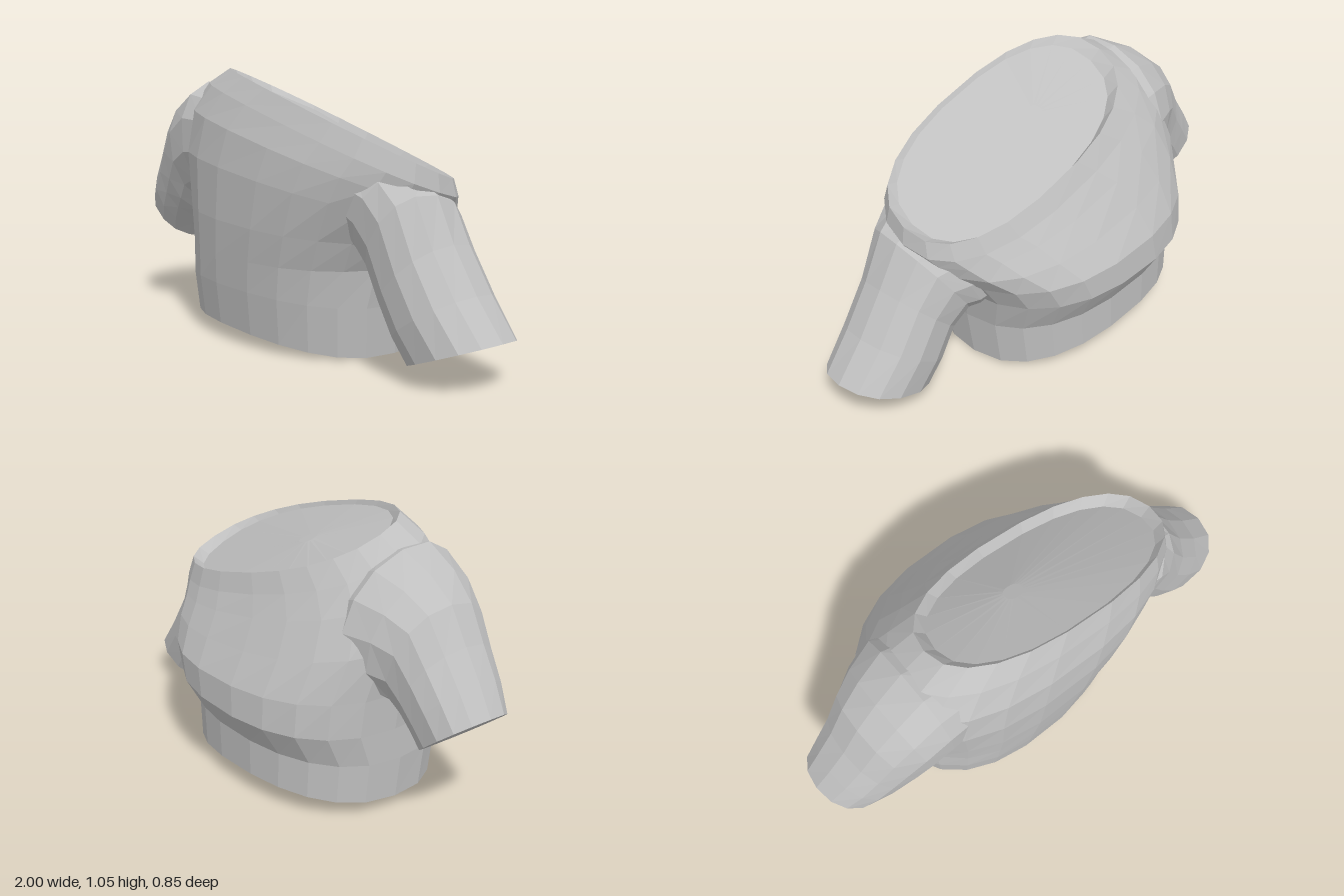
import * as THREE from 'three';

const V = (x, y, z) => new THREE.Vector3(x, y, z);

// Skin a list of rings { c, u, w, sag } (centre, two half axes, droop at the sides) and cap both ends with fans.
// An exponent below 1 makes the ovals boxier.
function loft(rings, segments, exponent) {
  const pos = [], index = [];
  const bend = t => Math.sign(t) * Math.pow(Math.abs(t), exponent);
  for (const { c, u, w, sag = 0 } of rings) {
    for (let i = 0; i < segments; i++) {
      const a = (i / segments) * Math.PI * 2;
      const p = c.clone().addScaledVector(u, bend(Math.cos(a))).addScaledVector(w, bend(Math.sin(a)));
      pos.push(p.x, p.y - sag * Math.cos(a) ** 2, p.z);
    }
  }
  for (let r = 0; r < rings.length - 1; r++) {
    for (let i = 0; i < segments; i++) {
      const j = (i + 1) % segments;
      const a = r * segments + i, b = r * segments + j;
      index.push(a, a + segments, b, b, a + segments, b + segments);
    }
  }
  const cap = (r, end) => {
    const centre = pos.length / 3, c = rings[r].c;
    pos.push(c.x, c.y, c.z);
    for (let i = 0; i < segments; i++) {
      const a = r * segments + i, b = r * segments + (i + 1) % segments;
      index.push(centre, ...(end ? [b, a] : [a, b]));
    }
  };
  cap(rings.length - 1, true);
  cap(0, false);
  const g = new THREE.BufferGeometry();
  g.setAttribute('position', new THREE.Float32BufferAttribute(pos, 3));
  g.setIndex(index);
  g.computeVertexNormals();
  return g;
}

// Torso ring: extents in x and z on the tilted plane y = base + sx * x + sz * z
function torsoRing([x0, x1, z0, z1, base, sx, sz, sag]) {
  const cx = (x0 + x1) / 2, cz = (z0 + z1) / 2, rx = (x1 - x0) / 2, rz = (z1 - z0) / 2;
  return { c: V(cx, base + sx * cx + sz * cz, cz), u: V(rx, sx * rx, 0), w: V(0, sz * rz, rz), sag };
}

// Sleeve ring: upper and lower point in the front plane, extent in z, and rise of the front edge
function sleeveRing([tx, ty, bx, by, z0, z1, rise = 0], side) {
  return {
    c: V((tx + bx) / 2, (ty + by) / 2, (z0 + z1) / 2),
    u: V((tx - bx) / 2, (ty - by) / 2, 0),
    w: V(0, -side * rise, -side * (z1 - z0) / 2),
  };
}

export function createModel() {
  const group = new THREE.Group();
  const cloth = new THREE.MeshStandardMaterial({ color: 0xbfbfbf, flatShading: true });
  cloth.name = 'grey cloth';

  const add = (name, geometry) => {
    const mesh = new THREE.Mesh(geometry, cloth);
    mesh.name = name;
    group.add(mesh);
  };

  // Body from the drooping hem up to the slanted neck rim, then in to the slightly domed neck panel
  const body = [
    [-0.62, 0.39, -0.36, 0.39, 0.062, -0.05, -0.03, 0.042],
    [-0.63, 0.41, -0.36, 0.41, 0.22, -0.02, 0.0, 0.02],
    [-0.63, 0.44, -0.43, 0.42, 0.34, 0.0, 0.0, 0],
    [-0.64, 0.50, -0.42, 0.43, 0.46, -0.04, 0.03, 0],
    [-0.67, 0.59, -0.35, 0.43, 0.60, -0.12, 0.15, 0],
    [-0.64, 0.64, -0.28, 0.41, 0.71, -0.20, 0.23, 0],
    [-0.55, 0.67, -0.23, 0.37, 0.79, -0.25, 0.32, 0],
    [-0.43, 0.66, -0.19, 0.33, 0.865, -0.27, 0.38, 0],
    [-0.39, 0.61, -0.16, 0.32, 0.825, -0.27, 0.46, 0],
    [-0.06, 0.02, 0.03, 0.09, 0.86, -0.28, 0.38, 0],
  ];
  add('shirtBody', loft(body.map(torsoRing), 22, 0.84));

  // Raised sleeve on the right, starting inside the shoulder
  const right = [
    [-0.28, 0.80, -0.28, 0.50, 0.00, 0.20],
    [-0.40, 0.94, -0.40, 0.45, -0.16, 0.345, 0.08],
    [-0.54, 0.98, -0.52, 0.45, -0.19, 0.35, 0.06],
    [-0.67, 0.92, -0.59, 0.45, -0.15, 0.34, 0.03],
    [-0.77, 0.84, -0.63, 0.42, -0.11, 0.32],
    [-0.85, 0.71, -0.67, 0.39, -0.09, 0.30],
    [-0.93, 0.60, -0.71, 0.35, -0.08, 0.28],
    [-1.00, 0.50, -0.75, 0.30, -0.07, 0.25],
  ];
  add('rightSleeve', loft(right.map(r => sleeveRing(r, -1)), 14, 0.9));

  // Lowered sleeve on the left, starting inside the shoulder
  const left = [
    [0.32, 0.62, 0.22, 0.40, -0.04, 0.22, 0.06],
    [0.48, 0.69, 0.34, 0.38, -0.15, 0.31, 0.09],
    [0.60, 0.685, 0.41, 0.33, -0.13, 0.31, 0.08],
    [0.68, 0.64, 0.45, 0.30, -0.11, 0.295, 0.04],
    [0.77, 0.48, 0.51, 0.22, -0.09, 0.29],
    [0.88, 0.32, 0.57, 0.12, -0.09, 0.29],
    [1.00, 0.18, 0.63, 0.04, -0.08, 0.28],
  ];
  add('leftSleeve', loft(left.map(r => sleeveRing(r, 1)), 14, 0.9));

  return group;
}
